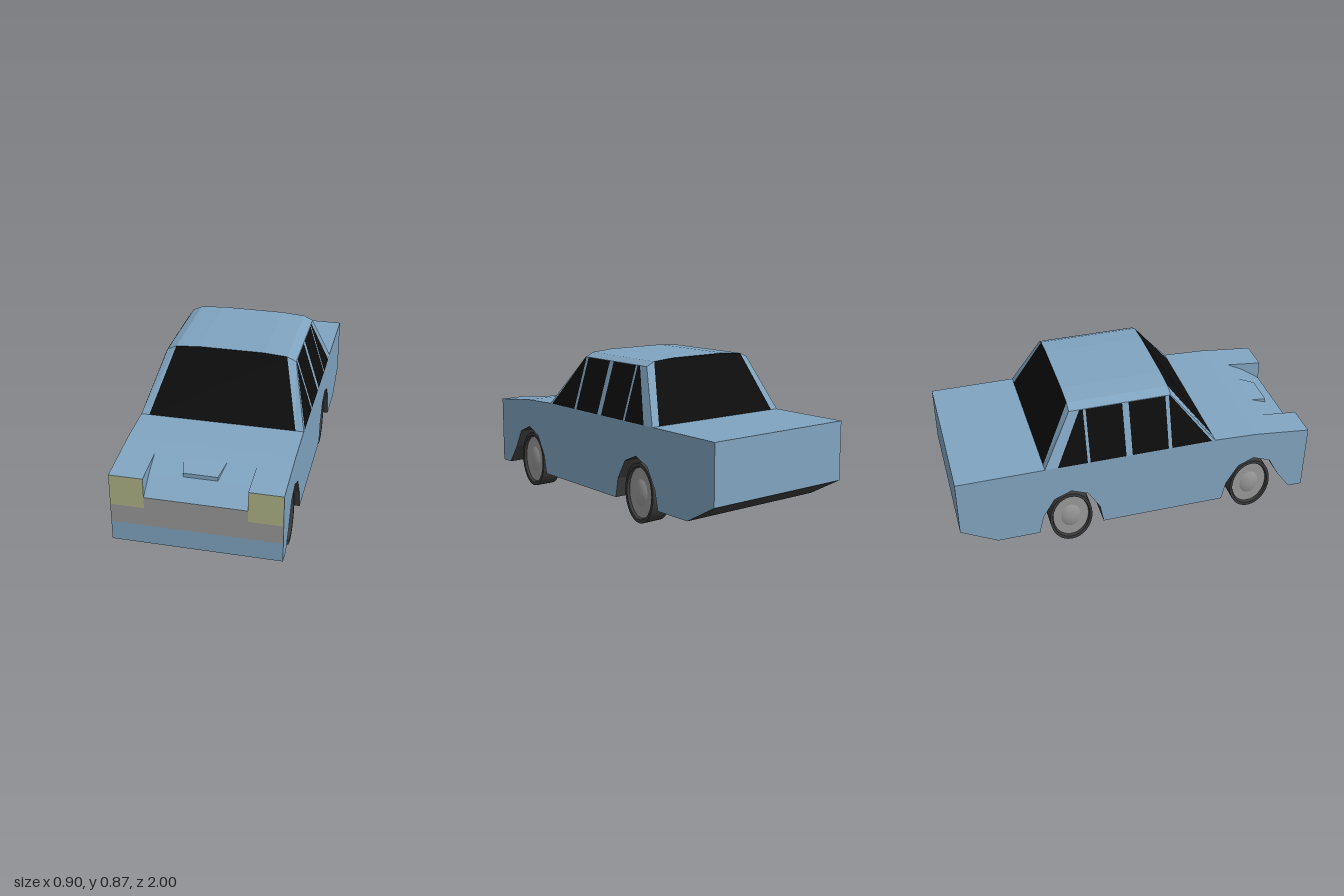
import * as THREE from 'three';

const paint = (color) => new THREE.MeshStandardMaterial({ color, side: THREE.DoubleSide });
const blue = paint(0x80a4c0), black = paint(0x0d0d0d), dark = paint(0x3a3a3a);
const grey = paint(0x999999), yellow = paint(0xaeb286);

const HALF = 0.45, BELT = 0.545;

export function createModel() {
  const car = new THREE.Group();
  car.name = 'car';

  const add = (name, geometry, material, parent = car) => {
    const mesh = new THREE.Mesh(geometry, material);
    mesh.name = name;
    parent.add(mesh);
    return mesh;
  };

  // Flat convex panels, each a list of [x, y, z] corners, counterclockwise from outside
  const panels = (name, material, faces) => {
    const pos = [];
    for (const f of faces)
      for (let i = 1; i < f.length - 1; i++) pos.push(...f[0], ...f[i], ...f[i + 1]);
    const g = new THREE.BufferGeometry();
    g.setAttribute('position', new THREE.Float32BufferAttribute(pos, 3));
    g.computeVertexNormals();
    return add(name, g, material);
  };
  const mirror = (f) => f.map(([x, y, z]) => [-x, y, z]).reverse();
  const both = (faces) => [...faces, ...faces.map(mirror)];

  // Ribbon following a [z, y] line from x0 to x1
  const ribbon = (line, x0, x1) => line.slice(1).map(([z2, y2], i) => {
    const [z1, y1] = line[i];
    return [[x0, y1, z1], [x0, y2, z2], [x1, y2, z2], [x1, y1, z1]];
  });

  // Lower body outlines
  const topLine = [[-1, BELT], [0.44, BELT], [0.68, 0.535], [0.79, 0.523]];
  const fenderLine = [[0.79, 0.523], [1, 0.5]];
  const noseLine = [[0.79, 0.523], [0.89, 0.47], [1, 0.39]];
  const underLine = [
    [1, 0.11], [0.92, 0.11], [0.84, 0.22], [0.78, 0.33], [0.68, 0.37], [0.59, 0.33], [0.525, 0.22], [0.5, 0.11],
    [-0.2, 0.11], [-0.22, 0.22], [-0.285, 0.33], [-0.38, 0.37], [-0.475, 0.33], [-0.54, 0.22], [-0.565, 0.11],
    [-0.8, 0.11], [-1, 0.22],
  ];

  panels('hoodAndTrunk', blue, ribbon(topLine, -HALF, HALF));
  panels('fenderTops', blue, both(ribbon(fenderLine, 0.27, HALF)));
  panels('nose', blue, ribbon(noseLine, -0.27, 0.27));
  panels('noseWalls', blue, both([[[0.27, 0.523, 0.79], [0.27, 0.5, 1], [0.27, 0.39, 1], [0.27, 0.47, 0.89]]]));
  panels('underside', dark, ribbon(underLine, -HALF, HALF));
  panels('rearPanel', blue, ribbon([[-1, 0.22], [-1, BELT]], -HALF, HALF));

  // Body sides with wheel arches
  for (const s of [1, -1]) {
    const outline = [...topLine, fenderLine[1], ...underLine].map(([z, y]) => new THREE.Vector2(-s * z, y));
    const g = new THREE.ShapeGeometry(new THREE.Shape(outline));
    g.rotateY(s * Math.PI / 2).translate(s * HALF, 0, 0);
    add(s > 0 ? 'leftSide' : 'rightSide', g, blue);
  }

  // Front face
  panels('bumper', blue, ribbon([[1, 0.22], [1, 0.11]], -HALF, HALF));
  panels('grille', grey, [
    ...ribbon([[1, 0.39], [1, 0.325]], -0.27, 0.27),
    ...ribbon([[1, 0.325], [1, 0.22]], -HALF, HALF),
  ]);
  panels('headlights', yellow, both(ribbon([[1, 0.5], [1, 0.325]], 0.27, HALF)));

  // Small raised scoop on the nose
  panels('scoop', blue, [
    [[-0.115, 0.523, 0.79], [-0.09, 0.492, 0.89], [0.09, 0.492, 0.89], [0.115, 0.523, 0.79]],
    [[-0.09, 0.492, 0.89], [-0.09, 0.47, 0.89], [0.09, 0.47, 0.89], [0.09, 0.492, 0.89]],
    ...both([[[0.115, 0.523, 0.79], [0.09, 0.492, 0.89], [0.09, 0.47, 0.89]]]),
  ]);

  // Roof, gently crowned across its width
  const crown = [[-0.36, 0.835], [-0.31, 0.858], [-0.18, 0.868], [0.18, 0.868], [0.31, 0.858], [0.36, 0.835]];
  const FRONT = 0.2, BACK = -0.36;
  panels('roof', blue, crown.slice(1).map(([x2, y2], i) => {
    const [x1, y1] = crown[i];
    return [[x1, y1, BACK], [x1, y1, FRONT], [x2, y2, FRONT], [x2, y2, BACK]];
  }));

  // Windscreen and rear window with their pillars
  for (const [name, base, top] of [['windscreen', 0.44, FRONT], ['rearWindow', -0.52, BACK]]) {
    const turn = (f) => (base > 0 ? f : [...f].reverse());
    panels(name, black, [turn([
      [-0.405, BELT, base], [0.405, BELT, base],
      ...crown.slice(1, 5).reverse().map(([x, y]) => [x, y, top]),
    ])]);
    panels(name + 'Pillars', blue, both([turn([
      [0.405, BELT, base], [HALF, BELT, base], [0.36, 0.835, top], [0.31, 0.858, top],
    ])]));
  }

  // Cabin sides, with windows lying just proud of the sloping panel
  const onSide = (z, y, lift = 0) => [HALF - 0.09 * (y - BELT) / 0.29 + lift, y, z];
  panels('cabinSides', blue, both([
    [onSide(0.44, BELT), onSide(-0.52, BELT), onSide(BACK, 0.835), onSide(FRONT, 0.835)],
  ]));
  const windows = [ // front z and back z at the bottom, then at the top
    [0.42, 0.19, 0.197, 0.19],
    [0.17, -0.035, 0.17, -0.035],
    [-0.07, -0.27, -0.07, -0.27],
    [-0.285, -0.45, -0.285, -0.305],
  ];
  panels('sideWindows', black, both(windows.map(([f, b, tf, tb]) => [
    onSide(f, BELT, 0.002), onSide(b, BELT, 0.002), onSide(tb, 0.834, 0.002), onSide(tf, 0.834, 0.002),
  ])));

  // Wheels, slightly narrower along the car than they are tall
  const tyreProfile = [[0.138, -0.045], [0.145, -0.06], [0.165, -0.06], [0.165, 0.06], [0.145, 0.06], [0.138, 0.045]];
  const tyreGeometry = new THREE.LatheGeometry(tyreProfile.map(([r, h]) => new THREE.Vector2(r, h)), 32)
    .toNonIndexed();
  tyreGeometry.computeVertexNormals();
  const rimGeometry = new THREE.CylinderGeometry(0.14, 0.14, 0.09, 32);
  const hubGeometry = new THREE.SphereGeometry(0.118, 32, 16).scale(1, 0.5, 1);
  for (const x of [-0.37, 0.37]) {
    for (const z of [0.68, -0.38]) {
      const wheel = new THREE.Group();
      wheel.name = (z > 0 ? 'front' : 'rear') + (x > 0 ? 'Left' : 'Right') + 'Wheel';
      add('tyre', tyreGeometry, dark, wheel);
      add('rim', rimGeometry, grey, wheel);
      add('hubcap', hubGeometry, grey, wheel);
      wheel.rotation.z = Math.PI / 2;
      wheel.scale.z = 0.73;
      wheel.position.set(x, 0.165, z);
      car.add(wheel);
    }
  }

  return car;
}
